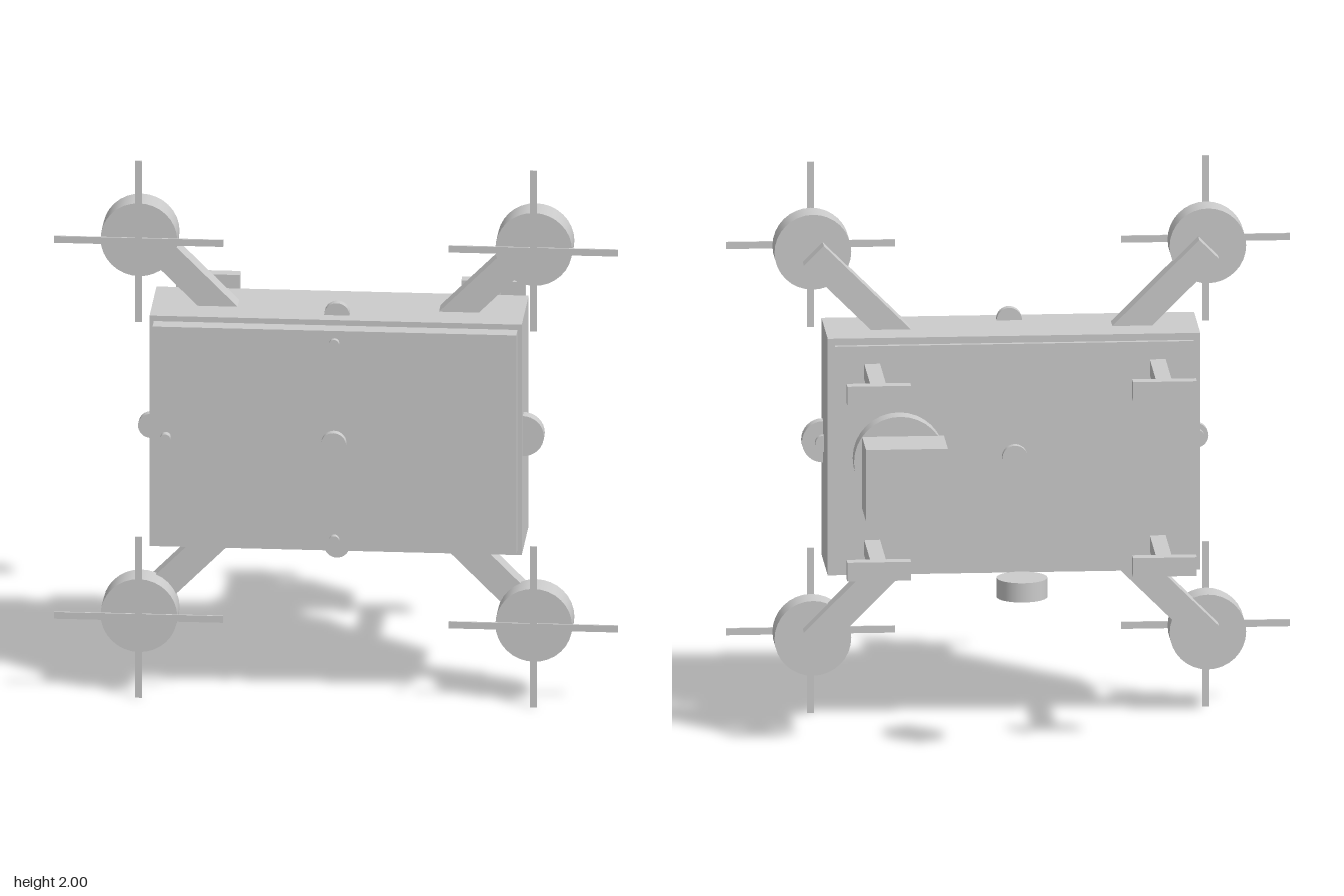
import * as THREE from 'three';

export function createModel() {
  const model = new THREE.Group();
  const material = new THREE.MeshStandardMaterial({ color: 0xcccccc });

  const add = (name, geometry, x, y, z) => {
    const mesh = new THREE.Mesh(geometry, material);
    mesh.name = name;
    mesh.position.set(x, y, z);
    model.add(mesh);
    return mesh;
  };
  // Box given by its size and centre
  const box = (name, w, h, d, x, y, z) => add(name, new THREE.BoxGeometry(w, h, d), x, y, z);
  // Disc whose axis runs along z, between z0 and z1
  const disc = (name, r, z0, z1, x, y) =>
    add(name, new THREE.CylinderGeometry(r, r, z1 - z0, 32).rotateX(Math.PI / 2), x, y, (z0 + z1) / 2);

  const midY = 1.005;

  // Body: main case, front cover, back plate
  box('body', 1.32, 0.86, 0.32, 0, midY, 0.195);
  box('frontCover', 1.29, 0.82, 0.065, 0, midY, 0.383);
  box('backPlate', 1.27, 0.81, 0.02, 0, midY, 0.027);

  for (const sx of [-1, 1]) {
    for (const sy of [-1, 1]) {
      // Diagonal arm with motor and crossed rotor blades
      const mx = sx * 0.7;
      const my = midY + sy * 0.702;
      const arm = box('arm', 0.44, 0.1, 0.075, sx * 0.545, midY + sy * 0.547, 0.197);
      arm.rotation.z = sx * sy * Math.PI / 4;
      disc('motor', 0.136, 0.217, 0.325, mx, my);
      box('rotorBladeAcross', 0.6, 0.025, 0.007, mx, my, 0.341);
      box('rotorBladeUpright', 0.025, 0.6, 0.007, mx, my, 0.341);

      // Landing leg and foot behind the body
      const ly = midY + sy * 0.32;
      box('leg', 0.056, 0.056, 0.325, sx * 0.506, ly, -0.175);
      box('foot', 0.226, 0.068, 0.045, sx * 0.506, ly, -0.357);
    }
  }

  // Camera on its mount
  disc('cameraMount', 0.163, -0.052, 0.02, 0.41, midY);
  box('cameraNeck', 0.07, 0.07, 0.16, 0.41, midY, -0.13);
  box('camera', 0.29, 0.26, 0.2, 0.41, midY, -0.31);

  // Free sensor puck with an upright axis
  add('sensorPuck', new THREE.CylinderGeometry(0.09, 0.09, 0.07, 32), 0, 0.62, -0.376);

  // Discs let into the edges of the case
  disc('topSensor', 0.045, 0.272, 0.302, 0, 1.435);
  disc('bottomSensor', 0.045, 0.272, 0.302, 0, 0.575);
  disc('leftSensor', 0.075, 0.268, 0.314, 0.66, midY);
  disc('rightSensor', 0.045, 0.272, 0.302, -0.66, midY);
  for (const sx of [-1, 1]) disc('sidePin', 0.03, 0.235, 0.258, sx * 0.66, midY);

  // Buttons and lights on the front and back
  disc('frontButton', 0.045, 0.437, 0.465, 0, midY);
  disc('backButton', 0.045, -0.026, 0, 0, midY);
  disc('topLight', 0.018, 0.41, 0.435, 0, 1.37);
  disc('bottomLight', 0.018, 0.41, 0.435, 0, 0.637);
  disc('sideLight', 0.018, 0.41, 0.445, -0.598, midY);

  return model;
}
